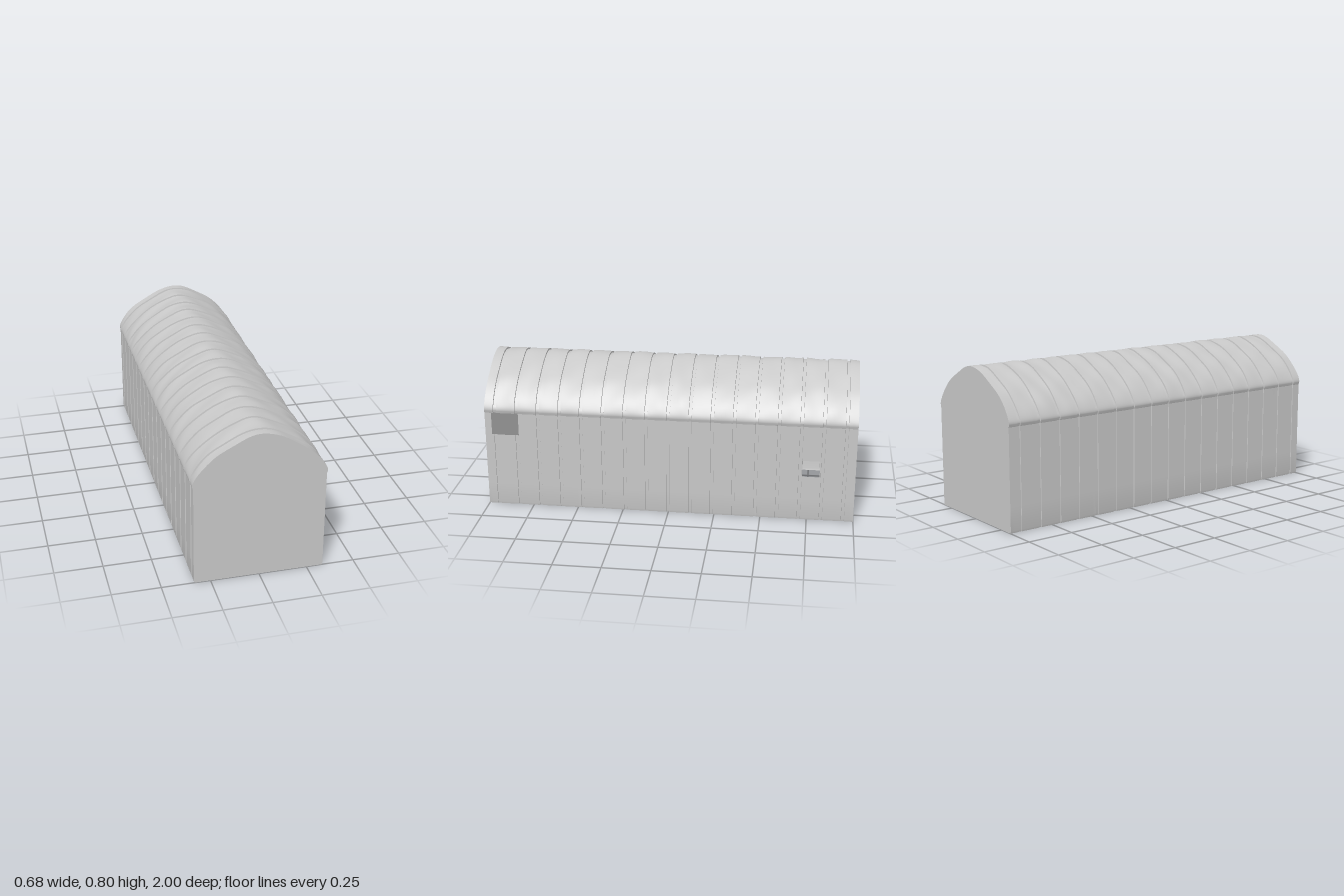
import * as THREE from 'three';
import { toCreasedNormals } from 'three/addons/utils/BufferGeometryUtils.js';

const PITCH = 0.1179, GROOVE = 0.008, EPS = 0.0012;

// Openings in the left wall
const openings = [
  { z0: 0.814, z1: 0.964, y0: 0.412, y1: 0.536 },
  { z0: -0.811, z1: -0.718, y0: 0.252, y1: 0.343 },
];

// Wall heights, including the edges of the openings
const wallRows = [0, 0.012, 0.13, 0.252, 0.343, 0.412, 0.47, 0.536];
const wallX = (y) => (y < 0.005 ? 0.332 : 0.335);

// Cross-section from the +x foot over the roof to the -x foot
function makeProfile() {
  const half = [[0.335, 0.536], [0.34, 0.555], [0.33, 0.583], [0.3, 0.627], [0.25, 0.677],
    [0.2, 0.714], [0.1, 0.769], [0.04, 0.791]];
  const pts = [...half, [0, 0.796], ...half.map(([x, y]) => [-x, y]).reverse()];
  const curve = new THREE.CatmullRomCurve3(pts.map(([x, y]) => new THREE.Vector3(x, y, 0)));
  const right = wallRows.slice(0, -1).map((y) => new THREE.Vector3(wallX(y), y, 0));
  const left = right.map((p) => new THREE.Vector3(-p.x, p.y, 0)).reverse();
  return [...right, ...curve.getPoints(48), ...left];
}

// Stations along the length, with tight pairs at each groove edge
function makeStations() {
  const list = [];
  const add = (z, sunk) => list.push({ z, sunk });
  for (let k = -8; k <= 8; k++) {
    const c = k * PITCH;
    add(c - GROOVE - EPS, false);
    add(c - GROOVE, true);
    add(c + GROOVE, true);
    add(c + GROOVE + EPS, false);
    if (k < 8) for (let s = 1; s < 5; s++) add(c + GROOVE + (PITCH - 2 * GROOVE) * s / 5, false);
  }
  for (const z of [-1, -0.975, 0.975, 1]) add(z, false);
  for (const o of openings) { add(o.z0, false); add(o.z1, false); }
  return list.sort((a, b) => a.z - b.z);
}

// Gentle dents over the roof skin
function dents(x, y, z) {
  return 0.0016 * Math.sin(17 * x + 31 * z + 2 * Math.sin(9 * z))
    + 0.0013 * Math.sin(38 * x - 23 * z + 1.3)
    + 0.001 * Math.sin(55 * z + 29 * y);
}

const profile = makeProfile();
const stations = makeStations();

// Skin point: profile pushed along its normal by grooves and dents
function skinPoint(i, st) {
  const p = profile[i];
  const a = profile[Math.max(0, i - 1)], b = profile[Math.min(profile.length - 1, i + 1)];
  const n = new THREE.Vector2(b.y - a.y, a.x - b.x).normalize();
  const roof = THREE.MathUtils.smoothstep(p.y, 0.53, 0.62);
  let d = roof * dents(p.x, p.y, st.z);
  if (st.sunk) d -= 0.004 + 0.004 * roof;
  // keep the foot level on the ground
  return new THREE.Vector3(p.x + n.x * d, i === 0 || i === profile.length - 1 ? 0 : p.y + n.y * d, st.z);
}

function isOpen(i, j) {
  const y = (profile[i].y + profile[i + 1].y) / 2;
  const z = (stations[j].z + stations[j + 1].z) / 2;
  return profile[i].x > 0 && openings.some((o) => y > o.y0 && y < o.y1 && z > o.z0 && z < o.z1);
}

// Lengthwise strip of skin between two profile indices
function makeSkin(from, to) {
  const pos = [], idx = [];
  const cols = stations.length;
  for (let i = from; i <= to; i++) {
    for (const st of stations) pos.push(...skinPoint(i, st).toArray());
  }
  for (let i = from; i < to; i++) {
    for (let j = 0; j < cols - 1; j++) {
      if (isOpen(i, j)) continue;
      const a = (i - from) * cols + j, b = a + cols;
      idx.push(a, b, b + 1, a, b + 1, a + 1);
    }
  }
  const g = new THREE.BufferGeometry();
  g.setAttribute('position', new THREE.Float32BufferAttribute(pos, 3));
  g.setIndex(idx);
  return toCreasedNormals(g, 0.6);
}

// Flat end wall that follows the skin at one end
function makeEnd(st, mirror) {
  const pts = profile.map((_, i) => {
    const p = skinPoint(i, st);
    return new THREE.Vector2(p.x * mirror, p.y);
  });
  return new THREE.ShapeGeometry(new THREE.Shape(pts));
}

export function createModel() {
  const group = new THREE.Group();
  group.name = 'vaultedShelter';
  const grey = new THREE.MeshStandardMaterial({ color: 0xc8c8c8, side: THREE.DoubleSide });
  grey.name = 'light grey';

  const add = (name, geometry) => {
    const mesh = new THREE.Mesh(geometry, grey);
    mesh.name = name;
    group.add(mesh);
    return mesh;
  };

  const eave = wallRows.length - 1, last = profile.length - 1;
  add('leftWall', makeSkin(0, eave));
  add('roof', makeSkin(eave, last - eave));
  add('rightWall', makeSkin(last - eave, last));

  add('frontEnd', makeEnd(stations[stations.length - 1], 1)).position.z = 1;
  const back = add('backEnd', makeEnd(stations[0], -1));
  back.rotation.y = Math.PI;
  back.position.z = -1;
  return group;
}
